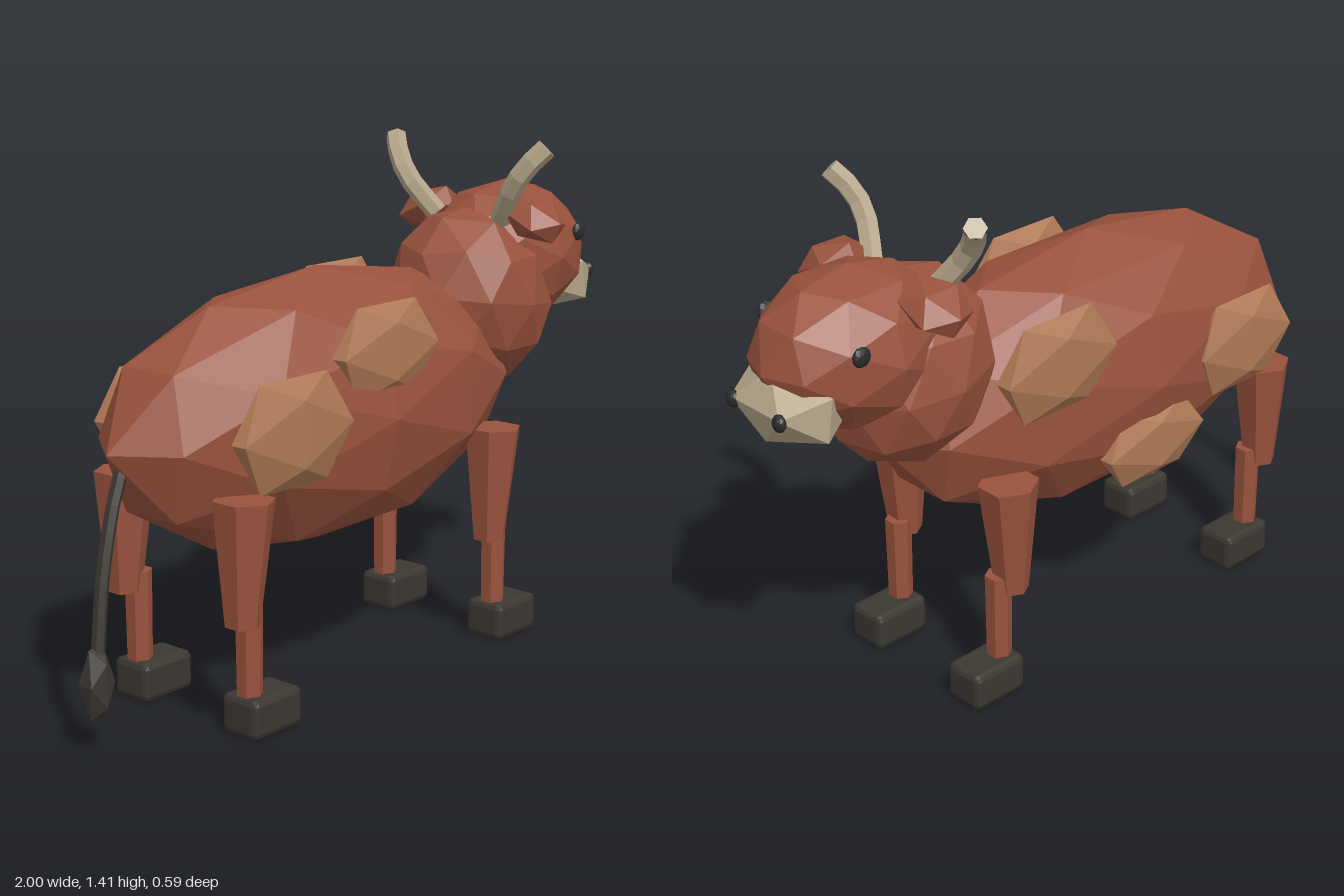
import * as THREE from 'three';
import { RoundedBoxGeometry } from 'three/addons/geometries/RoundedBoxGeometry.js';

const material = (name, color) => {
  const m = new THREE.MeshStandardMaterial({ color });
  m.name = name;
  return m;
};

// Faceted copy of a geometry
function faceted(geometry) {
  const g = geometry.index ? geometry.toNonIndexed() : geometry;
  g.computeVertexNormals();
  return g;
}

export function createModel() {
  const root = new THREE.Group();
  root.name = 'bull';
  const hide = material('red brown hide', 0x99523d);
  const tan = material('tan patch', 0xb07a56);
  const bone = material('pale horn', 0xb5a589);
  const dark = material('dark hoof', 0x3b3731);
  const black = material('black eye', 0x2a2a2a);

  function add(name, geometry, mat, position = [0, 0, 0], rotation = [0, 0, 0], parent = root) {
    const mesh = new THREE.Mesh(faceted(geometry), mat);
    mesh.name = name;
    mesh.position.set(...position);
    mesh.rotation.set(...rotation);
    parent.add(mesh);
    return mesh;
  }
  // Faceted ellipsoid
  const blob = (radii, detail) => new THREE.IcosahedronGeometry(1, detail).scale(...radii);
  const vectors = (points) => points.map((p) => new THREE.Vector3(...p));

  // Body, neck, head and muzzle
  add('body', blob([0.755, 0.375, 0.291], 1), hide, [-0.135, 0.745, 0]);
  add('neck', blob([0.235, 0.27, 0.235], 1), hide, [0.524, 0.949, 0], [0, 0, 0.49]);
  add('head', blob([0.275, 0.212, 0.212], 1), hide, [0.688, 1.06, 0]);
  add('muzzle', blob([0.13, 0.109, 0.18], 0), bone, [0.88, 0.968, 0], [0, 0, 0.15]);

  for (const side of [1, -1]) {
    const label = side > 0 ? 'near' : 'far';

    // Face details
    add(label + 'Eye', blob([0.027, 0.027, 0.014], 1), black, [0.802, 1.122, side * 0.183]);
    add(label + 'Nostril', blob([0.016, 0.024, 0.021], 1), black, [0.984, 0.978, side * 0.09]);
    add(label + 'Ear', blob([0.097, 0.06, 0.1], 0), hide, [0.575, 1.185, side * 0.192], [side * 0.45, 0, 0]);

    // Curved horn with a closed tip
    const horn = new THREE.Group();
    horn.name = label + 'Horn';
    root.add(horn);
    const curve = new THREE.CatmullRomCurve3(vectors([
      [0.515, 1.18, side * 0.115], [0.474, 1.28, side * 0.188],
      [0.481, 1.34, side * 0.23], [0.515, 1.393, side * 0.272],
    ]));
    add('hornShaft', new THREE.TubeGeometry(curve, 5, 0.03, 6), bone, [0, 0, 0], [0, 0, 0], horn);
    const tip = curve.getPoint(1);
    const cap = add('hornTip', new THREE.CircleGeometry(0.03, 6), bone, tip.toArray(), [0, 0, 0], horn);
    cap.lookAt(tip.clone().add(curve.getTangent(1)));

    // Legs: tapered upper part, thin shin, bevelled hoof
    for (const [end, x] of [['front', 0.365], ['back', -0.635]]) {
      const leg = new THREE.Group();
      leg.name = label + (end === 'front' ? 'FrontLeg' : 'BackLeg');
      leg.position.set(x, 0, 0);
      root.add(leg);
      add('upperLeg', new THREE.CylinderGeometry(0.082, 0.046, 0.325, 6), hide,
        [-0.005, 0.46, side * 0.215], [0, 0, -0.03], leg);
      add('lowerLeg', new THREE.CylinderGeometry(0.037, 0.034, 0.27, 6), hide,
        [0.027, 0.215, side * 0.202], [0, 0, 0], leg);
      add('hoof', new RoundedBoxGeometry(0.175, 0.105, 0.12, 1, 0.016), dark,
        [0.073, 0.0525, side * 0.2], [0, 0, 0], leg);
    }
  }

  // Hide patches: x, y, z, half length, half height
  const patches = [
    [-0.49, 0.77, 0.25, 0.232, 0.165],
    [-0.135, 0.925, 0.247, 0.218, 0.145],
    [0.22, 0.925, -0.25, 0.225, 0.158],
    [-0.5, 0.75, -0.25, 0.215, 0.16],
    [-0.14, 0.57, -0.25, 0.215, 0.125],
  ];
  patches.forEach(([x, y, z, a, b], i) => add('patch' + (i + 1), blob([a, b, 0.046], 0), tan, [x, y, z]));

  // Tail and tuft
  const tail = new THREE.CatmullRomCurve3(vectors([
    [-0.82, 0.745, 0], [-0.87, 0.64, 0.005], [-0.925, 0.45, 0.015], [-0.96, 0.22, 0.025],
  ]));
  add('tail', new THREE.TubeGeometry(tail, 8, 0.018, 6), dark);
  add('tailTuft', blob([0.046, 0.108, 0.044], 0), dark, [-0.961, 0.188, 0.024]);

  return root;
}
